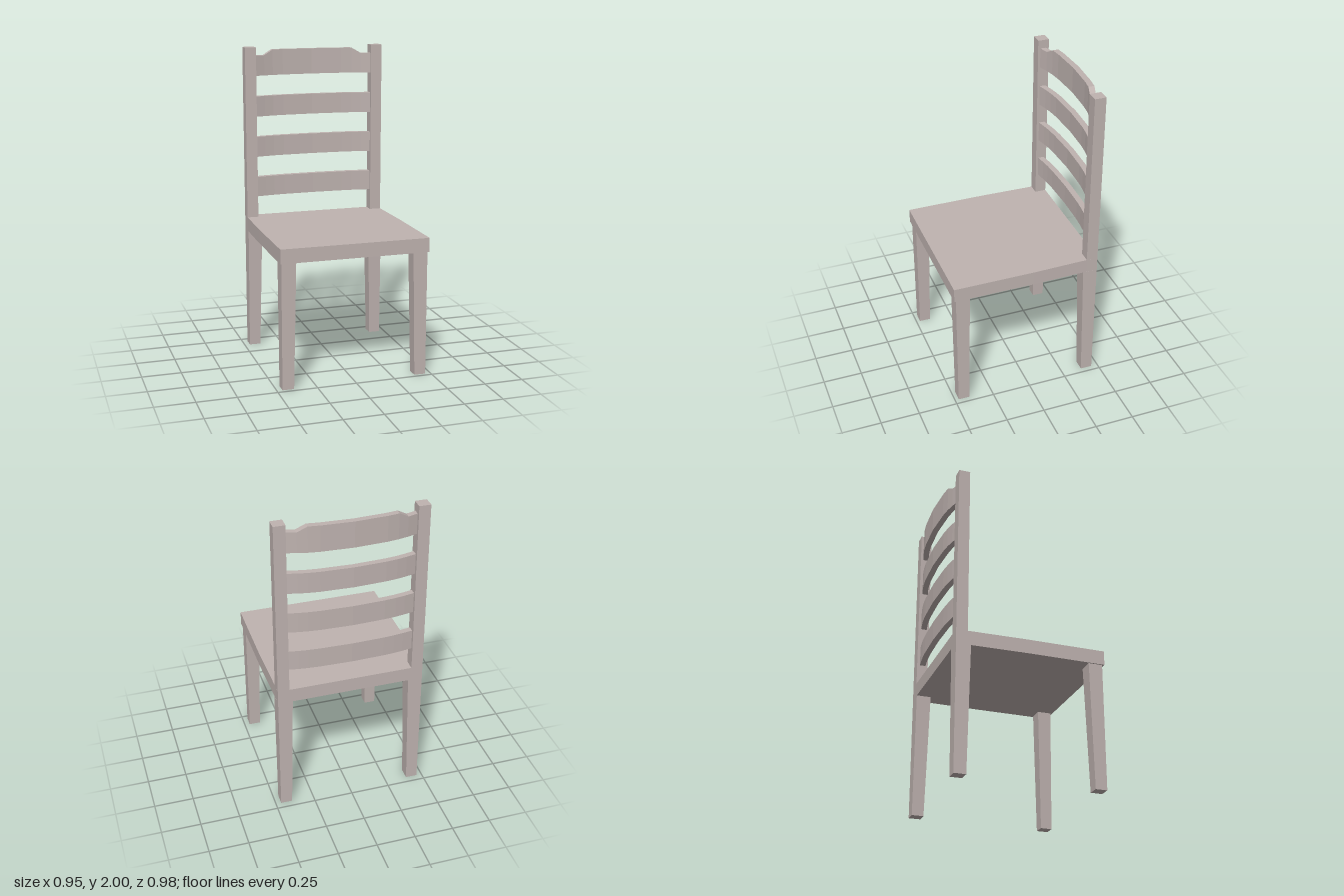
import * as THREE from 'three';

// Skin a row of convex rings (counter-clockwise seen from the last ring) into a flat-faced solid
function loft(rings) {
  const pos = [];
  const tri = (a, b, c) => pos.push(...a, ...b, ...c);
  const n = rings[0].length;
  for (let r = 0; r < rings.length - 1; r++) {
    const a = rings[r], b = rings[r + 1];
    for (let i = 0; i < n; i++) {
      const j = (i + 1) % n;
      tri(a[i], a[j], b[j]);
      tri(a[i], b[j], b[i]);
    }
  }
  const first = rings[0], last = rings[rings.length - 1];
  for (let i = 1; i < n - 1; i++) {
    tri(first[0], first[i + 1], first[i]);
    tri(last[0], last[i], last[i + 1]);
  }
  const geo = new THREE.BufferGeometry();
  geo.setAttribute('position', new THREE.Float32BufferAttribute(pos, 3));
  geo.computeVertexNormals();
  return geo;
}

// Horizontal rectangle at height y, from two opposite corners
function rect(y, xa, xb, za, zb) {
  const x0 = Math.min(xa, xb), x1 = Math.max(xa, xb);
  const z0 = Math.min(za, zb), z1 = Math.max(za, zb);
  return [[x0, y, z1], [x1, y, z1], [x1, y, z0], [x0, y, z0]];
}

export function createModel() {
  const model = new THREE.Group();
  model.name = 'chair';
  const wood = new THREE.MeshStandardMaterial({ color: 0xbfb3b0 });
  wood.name = 'pale wood';
  const add = (name, geo) => {
    const mesh = new THREE.Mesh(geo, wood);
    mesh.name = name;
    model.add(mesh);
  };

  const SEAT_BOTTOM = 0.795, SEAT_TOP = 0.885;
  const OUT = 0.465, IN = 0.392, BACK = -0.457;

  // Seat board, narrowing slightly to the rear
  const half = [[0.473, 0.487], [0.473, -0.03], [OUT, -0.385], [OUT, BACK]];
  const outline = [...half, ...half.map(([x, z]) => [-x, z]).reverse()];
  add('seat', loft([SEAT_BOTTOM, SEAT_TOP].map(y => outline.map(([x, z]) => [x, y, z]))));

  // Legs taper on their inner faces; straight posts rise from the rear corners
  for (const [side, s] of [['left', 1], ['right', -1]]) {
    add(side + 'FrontLeg', loft([
      rect(0, s * OUT, s * IN, 0.475, 0.402),
      rect(SEAT_BOTTOM, s * OUT, s * 0.373, 0.475, 0.386),
    ]));
    add(side + 'BackLeg', loft([
      rect(0, s * OUT, s * IN, BACK, -0.382),
      rect(SEAT_BOTTOM, s * OUT, s * 0.373, BACK, -0.364),
    ]));
    add(side + 'BackPost', loft([
      rect(SEAT_TOP, s * OUT, s * IN, BACK, -0.385),
      rect(2, s * OUT, s * IN, BACK, -0.385),
    ]));
  }

  // Bowed back slats: [bottom, top, bow depth, extra crest height]
  const slats = [
    [1.02, 1.15, 0.028, 0],
    [1.285, 1.417, 0.036, 0],
    [1.55, 1.682, 0.044, 0],
    [1.815, 1.945, 0.052, 0.035],
  ];
  // Stations along a slat: [x, share of bow, share of crest]
  const right = [[-0.393, 0, 0], [-0.33, 0.36, 0], [-0.27, 0.62, 1], [-0.2, 0.8, 1]];
  const stations = [...right, [0, 1, 1], ...right.map(([x, b, c]) => [-x, b, c]).reverse()];
  slats.forEach(([y0, y1, bow, crest], i) => {
    const rings = stations.map(([x, b, c]) => {
      const zf = -0.4 - bow * b, zb = zf - 0.038, top = y1 + crest * c;
      return [[x, y0, zf], [x, y0, zb], [x, top, zb], [x, top, zf]];
    });
    add(i === 3 ? 'crestRail' : 'backSlat' + (i + 1), loft(rings));
  });

  return model;
}
